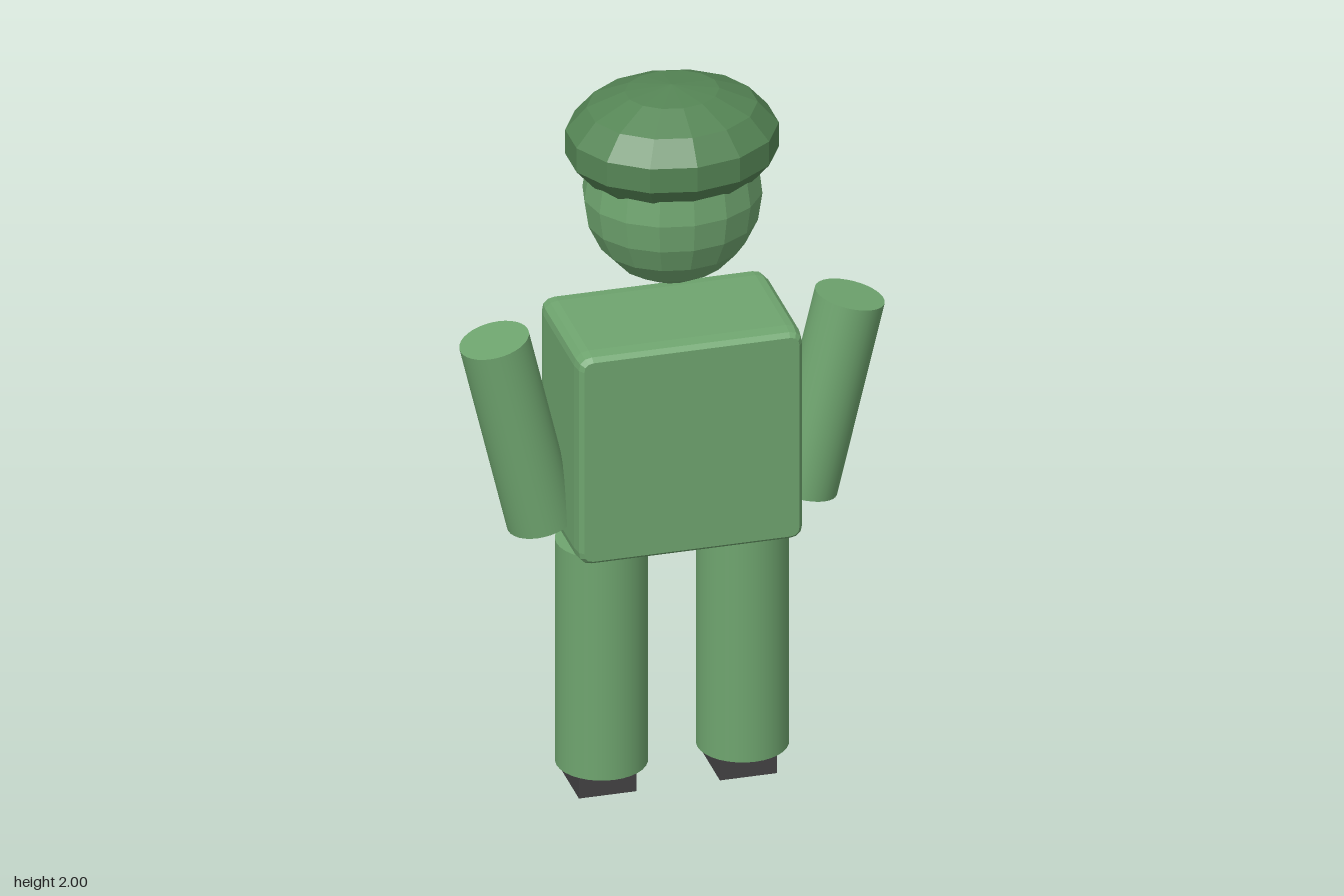
import * as THREE from 'three';

const paint = (color, flatShading = false) => new THREE.MeshStandardMaterial({ color, flatShading });
const CZ = 0.02; // depth of the body axis

export function createModel() {
  const model = new THREE.Group();
  const skin = paint(0x6fa56f);
  const skinFaceted = paint(0x6fa56f, true);
  const capGreen = paint(0x558555, true);
  const packGreen = paint(0x4a9048);
  const visorCyan = paint(0x3fd0d0);
  const bootGrey = paint(0x444244);

  const add = (name, geometry, material, x, y, z) => {
    const mesh = new THREE.Mesh(geometry, material);
    mesh.name = name;
    mesh.position.set(x, y, z);
    model.add(mesh);
    return mesh;
  };

  // Torso: rounded square extruded with a shallow bevel
  const h = 0.287, r = 0.025, bevel = 0.045, depth = 0.29;
  const square = new THREE.Shape();
  square.moveTo(-h + r, -h);
  square.lineTo(h - r, -h);
  square.quadraticCurveTo(h, -h, h, -h + r);
  square.lineTo(h, h - r);
  square.quadraticCurveTo(h, h, h - r, h);
  square.lineTo(-h + r, h);
  square.quadraticCurveTo(-h, h, -h, h - r);
  square.lineTo(-h, -h + r);
  square.quadraticCurveTo(-h, -h, -h + r, -h);
  const torso = new THREE.ExtrudeGeometry(square, {
    depth, bevelThickness: bevel, bevelSize: 0.015, bevelSegments: 2, curveSegments: 3,
  });
  torso.translate(0, 0, -depth / 2);
  add('torso', torso, skin, 0, 1.037, CZ);

  // Head: faceted sphere, slightly flattened front to back
  add('head', new THREE.SphereGeometry(1, 16, 10), skinFaceted, 0, 1.698, 0.024)
    .scale.set(0.235, 0.25, 0.214);

  // Cap: squashed low-poly sphere with a corner pointing forward
  const cap = new THREE.SphereGeometry(1, 14, 7);
  cap.rotateY(Math.PI / 2);
  add('cap', cap, capGreen, 0, 1.845, CZ).scale.set(0.284, 0.155, 0.25);

  // Band behind the head and plate behind the torso
  add('visor', new THREE.BoxGeometry(0.31, 0.112, 0.042), visorCyan, 0, 1.678, -0.2);
  add('backPlate', new THREE.BoxGeometry(0.44, 0.365, 0.043), packGreen, 0, 1.057, -0.244);

  // Limbs, mirrored
  for (const [side, s] of [['left', 1], ['right', -1]]) {
    add(side + 'Arm', new THREE.CylinderGeometry(0.092, 0.092, 0.55, 32), skin, s * 0.411, 1.058, CZ)
      .rotation.z = -s * 0.233;
    add(side + 'Leg', new THREE.CylinderGeometry(0.12, 0.12, 0.642, 32), skin, s * 0.188, 0.395, CZ);
    add(side + 'Foot', new THREE.BoxGeometry(0.153, 0.1, 0.2), bootGrey, s * 0.188, 0.05, -0.022);
  }
  return model;
}
